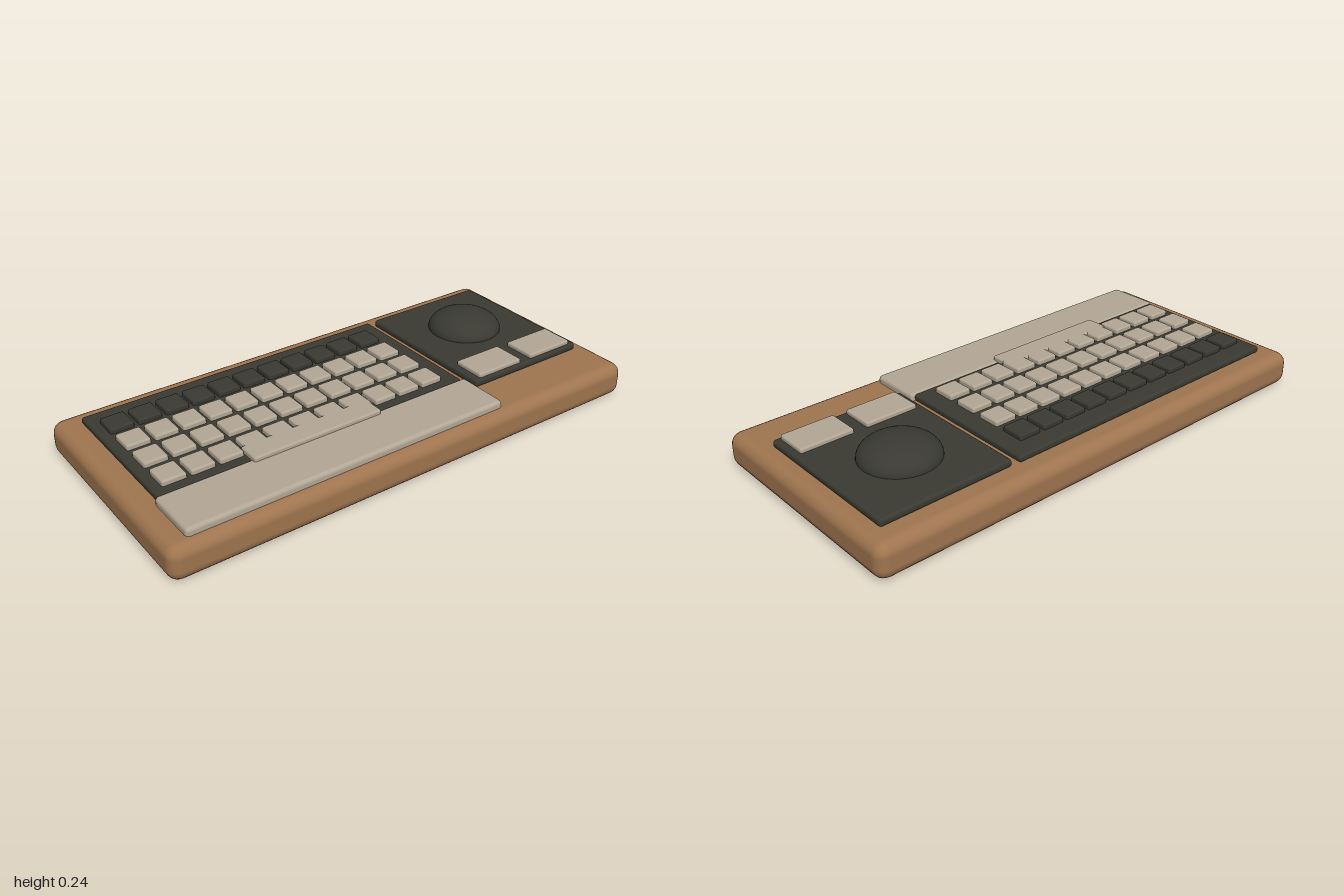
import * as THREE from 'three';
import { RoundedBoxGeometry } from 'three/addons/geometries/RoundedBoxGeometry.js';

export function createModel() {
  const model = new THREE.Group();
  model.name = 'keyboardWithTrackball';

  const material = (name, color) => {
    const m = new THREE.MeshStandardMaterial({ color });
    m.name = name;
    return m;
  };
  const wood = material('wood', 0x9f754f);
  const charcoal = material('charcoal', 0x3a3a33);
  const beige = material('beige', 0xb3a795);

  // Rounded block given by its extents on each axis
  const block = (name, mat, [x0, x1], [y0, y1], [z0, z1], radius, segments = 2) => {
    const geometry = new RoundedBoxGeometry(x1 - x0, y1 - y0, z1 - z0, segments, radius);
    const mesh = new THREE.Mesh(geometry, mat);
    mesh.name = name;
    mesh.position.set((x0 + x1) / 2, (y0 + y1) / 2, (z0 + z1) / 2);
    model.add(mesh);
    return mesh;
  };

  // Wooden case and the plates on it
  block('case', wood, [-1, 1], [0, 0.135], [-0.466, 0.466], 0.045, 3);
  block('keyPlate', charcoal, [-0.91, 0.37], [0.133, 0.16], [-0.377, 0.215], 0.01);
  block('trackballPlate', charcoal, [0.4, 0.93], [0.133, 0.163], [-0.375, 0.265], 0.012);
  block('wristRest', beige, [-0.92, 0.385], [0.12, 0.163], [0.21, 0.425], 0.015);

  // Four rows of keys, the back row dark
  const keyGeometry = new RoundedBoxGeometry(0.092, 0.03, 0.095, 2, 0.008);
  for (let row = 0; row < 4; row++) {
    for (let col = 0; col < 11; col++) {
      const key = new THREE.Mesh(keyGeometry, row === 0 ? charcoal : beige);
      key.name = row === 0 ? 'functionKey' : 'key';
      key.position.set(-0.826 + col * 0.108, 0.165, -0.254 + row * 0.128);
      model.add(key);
    }
  }
  block('spaceBar', beige, [-0.56, -0.03], [0.15, 0.18], [0.145, 0.237], 0.008);

  // Flattened trackball and its two buttons
  const ball = new THREE.Mesh(new THREE.SphereGeometry(0.147, 40, 24), charcoal);
  ball.name = 'trackball';
  ball.scale.y = 0.51;
  ball.position.set(0.664, 0.165, -0.108);
  model.add(ball);
  block('leftButton', beige, [0.428, 0.64], [0.15, 0.18], [0.118, 0.253], 0.008);
  block('rightButton', beige, [0.692, 0.904], [0.15, 0.18], [0.118, 0.253], 0.008);

  return model;
}
